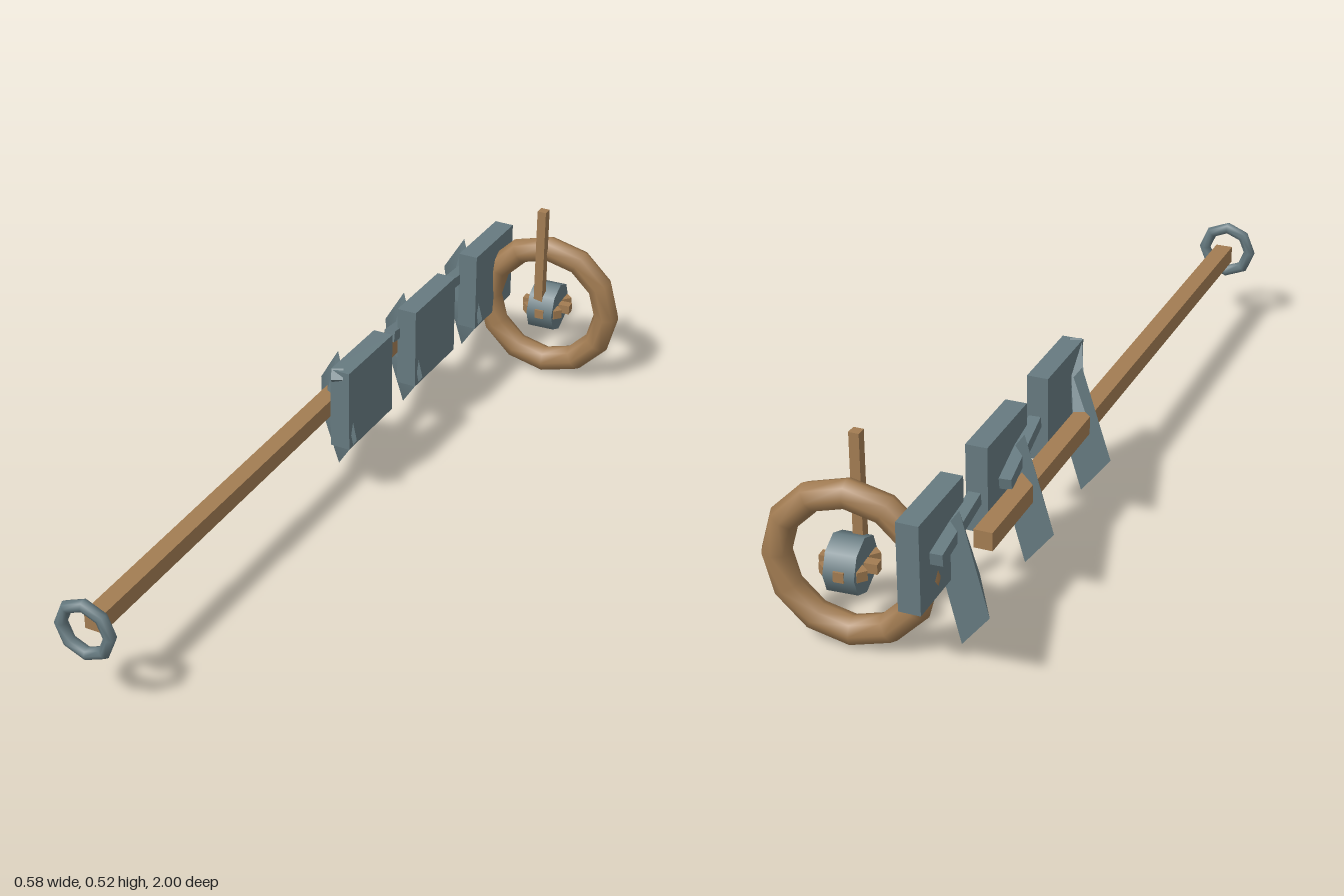
import * as THREE from 'three';

const wood = new THREE.MeshStandardMaterial({ color: 0xa27c52 });
const steel = new THREE.MeshStandardMaterial({ color: 0x667a80 });

function add(parent, name, geometry, material, x = 0, y = 0, z = 0) {
  const mesh = new THREE.Mesh(geometry, material);
  mesh.name = name;
  mesh.position.set(x, y, z);
  parent.add(mesh);
  return mesh;
}

// Square bar running between two points
function bar(parent, name, from, to, size, material) {
  const a = new THREE.Vector3(...from), b = new THREE.Vector3(...to);
  const mesh = add(parent, name, new THREE.BoxGeometry(size, size, a.distanceTo(b)), material);
  mesh.position.copy(a).add(b).multiplyScalar(0.5);
  mesh.lookAt(b);
  return mesh;
}

// Plough body: moldboard plate, pointed share and the strut that carries them
function ploughBody(z) {
  const body = new THREE.Group();
  body.name = 'ploughBody';
  body.position.z = z;
  add(body, 'moldboard', new THREE.BoxGeometry(0.054, 0.223, 0.233), steel, -0.1, 0.279, 0);

  // Shallow four-sided pyramid standing diagonally
  const share = new THREE.ConeGeometry(0.17, 0.045, 4);
  share.translate(0, 0.0225, 0).rotateX(Math.PI / 2).rotateY(-Math.PI / 4);
  add(body, 'share', share, steel, -0.169, 0.205, 0);

  bar(body, 'strut', [-0.182, 0.215, 0.105], [-0.102, 0.392, -0.025], 0.03, steel);
  return body;
}

// Wheel with hub and short spokes, turned slightly outward
function landWheel() {
  const wheel = new THREE.Group();
  wheel.name = 'landWheel';
  wheel.position.set(0.078, 0.211, -0.922);
  wheel.rotation.y = 0.07;
  add(wheel, 'rim', new THREE.TorusGeometry(0.175, 0.036, 8, 12), wood);
  const hub = new THREE.CylinderGeometry(0.069, 0.069, 0.074, 8).rotateZ(Math.PI / 2);
  add(wheel, 'hub', hub, steel);
  for (let i = 0; i < 4; i++) {
    const spoke = add(wheel, 'spoke', new THREE.BoxGeometry(0.138, 0.025, 0.025), wood, 0, 0.001, 0);
    spoke.rotation.y = i * Math.PI / 4;
  }
  return wheel;
}

export function createModel() {
  const model = new THREE.Group();
  model.name = 'plough';

  // Long beam with the hitch ring at its front end
  bar(model, 'beam', [-0.18, 0.225, 0.953], [-0.18, 0.249, -0.785], 0.046, wood);
  add(model, 'hitchRing', new THREE.TorusGeometry(0.066, 0.016, 8, 8), steel, -0.18, 0.225, 0.983);

  for (const z of [-0.152, -0.517, -0.883]) model.add(ploughBody(z));

  // Wheel and its upright lever
  model.add(landWheel());
  add(model, 'lever', new THREE.BoxGeometry(0.025, 0.31, 0.025), wood, 0.0715, 0.365, -0.88);
  return model;
}
